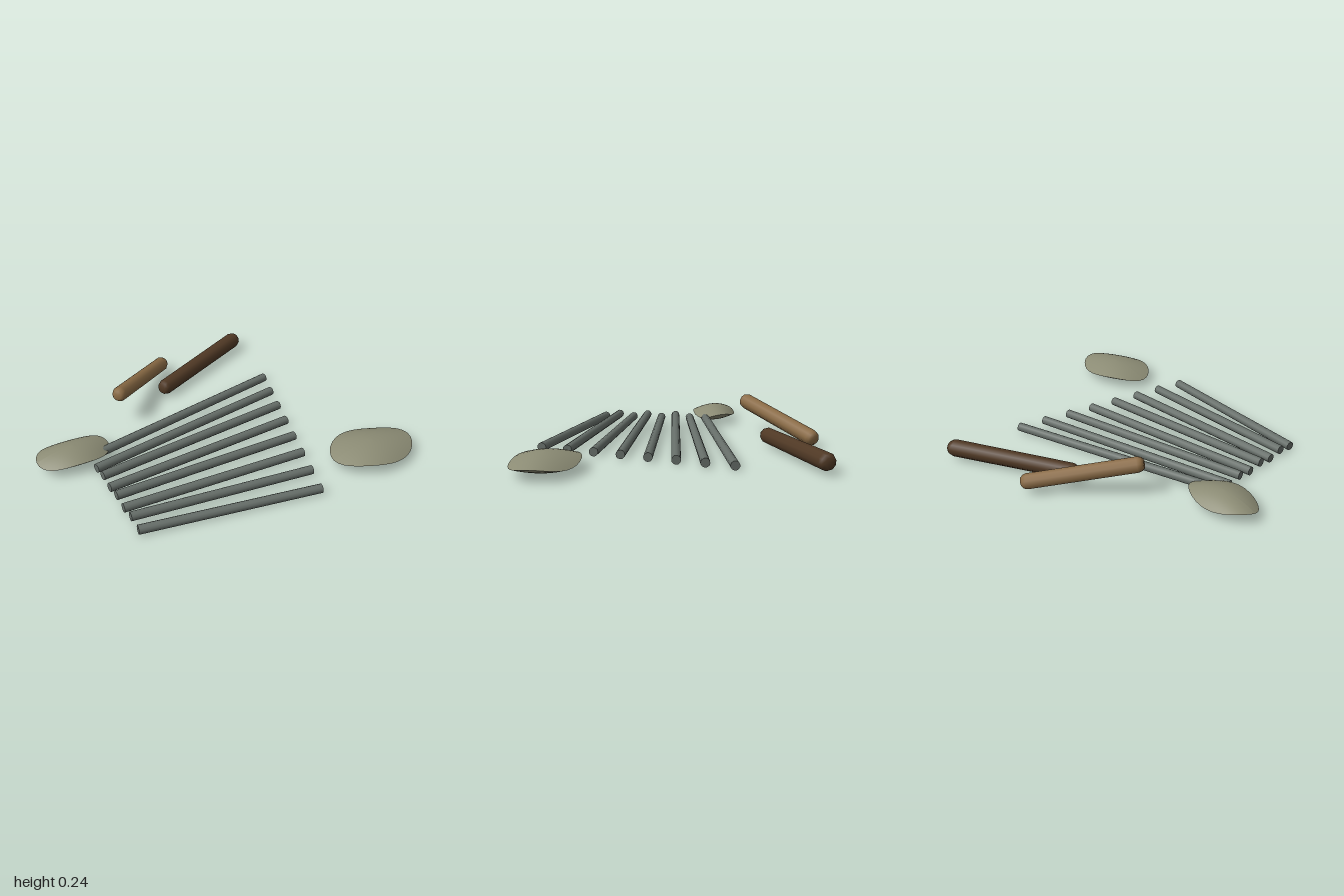
import * as THREE from 'three';

const material = (name, color) => {
  const m = new THREE.MeshStandardMaterial({ color });
  m.name = name;
  return m;
};

// Places a y-aligned geometry so that its ends sit at a and b
function between(geometry, mat, name, a, b) {
  const mesh = new THREE.Mesh(geometry, mat);
  mesh.name = name;
  mesh.position.copy(a).add(b).multiplyScalar(0.5);
  mesh.quaternion.setFromUnitVectors(new THREE.Vector3(0, 1, 0), b.clone().sub(a).normalize());
  return mesh;
}

// Round handle with chamfered ends, slightly tapered
function handle(mat, name, a, b, ra, rb) {
  const h = a.distanceTo(b) / 2;
  const profile = [
    [0, -h], [ra * 0.55, -h], [ra * 0.85, -h + ra * 0.3], [ra, -h + ra * 0.75],
    [rb, h - rb * 0.75], [rb * 0.85, h - rb * 0.3], [rb * 0.55, h], [0, h],
  ].map(([x, y]) => new THREE.Vector2(x, y));
  return between(new THREE.LatheGeometry(profile, 10), mat, name, a, b);
}

// Lens-shaped stone: two shallow domes meeting in a wavy, sharp rim
function stone(mat, name, x, z, rx, rz, phase) {
  const group = new THREE.Group();
  group.name = name;
  for (const side of [1, -1]) {
    const g = new THREE.SphereGeometry(1, 32, 10, 0, Math.PI * 2,
      side > 0 ? 0 : Math.PI / 2, Math.PI / 2);
    const p = g.attributes.position;
    for (let i = 0; i < p.count; i++) {
      const px = p.getX(i), pz = p.getZ(i);
      const r = Math.min(1, Math.hypot(px, pz));
      const angle = Math.atan2(pz, px);
      const wave = 0.012 * r ** 3 * Math.cos(3 * angle + phase);
      const dome = side * 0.049 * (1 - r * r);
      p.setXYZ(i, px * rx, 0.061 + dome + wave, pz * rz);
    }
    g.computeVertexNormals();
    const mesh = new THREE.Mesh(g, mat);
    mesh.name = side > 0 ? 'upperFace' : 'lowerFace';
    group.add(mesh);
  }
  group.position.set(x, 0, z);
  return group;
}

export function createModel() {
  const model = new THREE.Group();
  model.name = 'rodsStonesAndHandles';
  const V = (x, y, z) => new THREE.Vector3(x, y, z);
  const rodGrey = material('rodGrey', 0x666e69);
  const stoneOlive = material('stoneOlive', 0x8b8b74);
  const lightWood = material('lightWood', 0x8a6b45);
  const darkWood = material('darkWood', 0x503925);

  // Fan of eight rods, every other one raised at its left end
  for (let i = 0; i < 8; i++) {
    const a = V(-0.71, i % 2 ? 0.03 : 0.045, -0.018 + i * 0.095);
    const b = V(0.61 - i * 0.044, 0.03, -0.32 + i * 0.16);
    const rod = new THREE.CylinderGeometry(0.026, 0.026, a.distanceTo(b), 12);
    model.add(between(rod, rodGrey, `rod${i + 1}`, a, b));
  }

  // Flat stones at opposite corners of the fan
  model.add(stone(stoneOlive, 'smallStone', -0.787, -0.08, 0.213, 0.137, Math.PI / 2));
  model.add(stone(stoneOlive, 'largeStone', 0.742, 0.648, 0.256, 0.182, 0));

  // Wooden handles behind, the light one leaning on the dark one
  model.add(handle(lightWood, 'lightHandle', V(-0.417, 0.207, -0.3), V(0.085, 0.065, -0.74), 0.046, 0.046));
  model.add(handle(darkWood, 'darkHandle', V(-0.06, 0.06, -0.452), V(0.665, 0.071, -0.8), 0.047, 0.05));
  return model;
}
